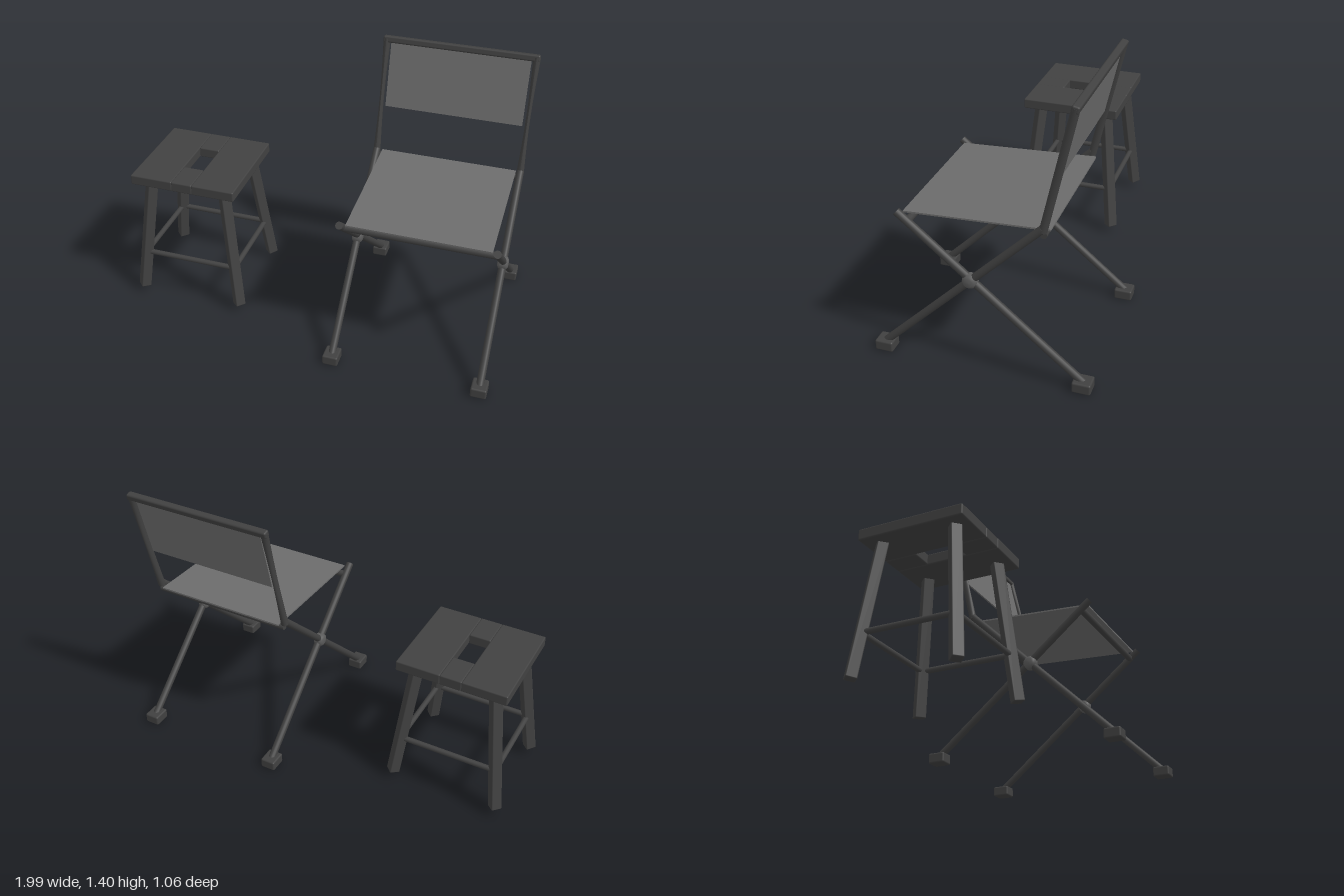
import * as THREE from 'three';
import { RoundedBoxGeometry } from 'three/addons/geometries/RoundedBoxGeometry.js';

const mat = (name, color, extra = {}) => {
  const m = new THREE.MeshStandardMaterial({ color, ...extra });
  m.name = name;
  return m;
};
const V = (x, y, z) => new THREE.Vector3(x, y, z);

export function createModel() {
  const model = new THREE.Group();
  const wood = mat('dark wood', 0x414141);
  const metal = mat('dark metal', 0x404040);
  const hubMat = mat('hub grey', 0x5a5a5a);
  const fabric = mat('fabric grey', 0x6c6c6c, { side: THREE.DoubleSide });

  const add = (parent, name, geo, material, pos) => {
    const m = new THREE.Mesh(geo, material);
    m.name = name;
    if (pos) m.position.copy(pos);
    parent.add(m);
    return m;
  };
  // Round bar between two points; waist narrows its x width midway
  const rod = (parent, name, a, b, r, material, waist = 0) => {
    const len = a.distanceTo(b);
    const geo = new THREE.CylinderGeometry(r, r, len, 16, 8);
    const p = geo.attributes.position;
    if (waist) {
      for (let i = 0; i < p.count; i++) {
        const k = 1 - waist * Math.cos((p.getY(i) / len) * Math.PI);
        p.setX(i, p.getX(i) * k);
      }
      geo.computeVertexNormals();
    }
    const m = add(parent, name, geo, material, a.clone().lerp(b, 0.5));
    m.quaternion.setFromUnitVectors(V(0, 1, 0), b.clone().sub(a).normalize());
    return m;
  };

  // ---- Stool ----
  const stool = new THREE.Group();
  stool.name = 'stool';
  stool.position.x = -0.68;
  model.add(stool);

  // Seat planks, with a hand slot between the two middle pieces
  const plank = (x, z, w, d) => add(stool, 'seatPlank',
    new RoundedBoxGeometry(w, 0.055, d, 2, 0.007), wood, V(x, 0.7275, z));
  plank(-0.17, 0, 0.23, 0.53);
  plank(0.17, 0, 0.23, 0.53);
  plank(0, 0.183, 0.113, 0.164);
  plank(0, -0.183, 0.113, 0.164);

  // Splayed square legs, each with a face turned to the diagonal
  for (const sx of [-1, 1]) for (const sz of [-1, 1]) {
    const top = V(sx * 0.202, 0.71, sz * 0.186), bottom = V(sx * 0.282, 0.035, sz * 0.254);
    const up = top.clone().sub(bottom);
    const leg = add(stool, 'stoolLeg', new RoundedBoxGeometry(0.053, up.length(), 0.053, 2, 0.005),
      wood, top.clone().lerp(bottom, 0.5));
    const y = up.normalize();
    const x = y.clone().cross(V(sx, 0, sz)).normalize();
    leg.quaternion.setFromRotationMatrix(new THREE.Matrix4().makeBasis(x, y, x.clone().cross(y)));
  }

  // Stretchers between the legs
  const sx = 0.256, sz = 0.232, sy = 0.255;
  for (const s of [-1, 1]) {
    rod(stool, 'stretcher', V(-sx, sy, s * sz), V(sx, sy, s * sz), 0.014, wood);
    rod(stool, 'stretcher', V(s * sx, sy, -sz), V(s * sx, sy, sz), 0.014, wood);
  }

  // ---- Folding chair ----
  const chair = new THREE.Group();
  chair.name = 'foldingChair';
  chair.position.x = 0.579;
  model.add(chair);

  const half = 0.378;
  const hubGeo = new THREE.LatheGeometry([
    [0, -0.028], [0.018, -0.027], [0.029, -0.022], [0.036, -0.012],
    [0.036, 0.012], [0.029, 0.022], [0.018, 0.027], [0, 0.028],
  ].map(([x, y]) => new THREE.Vector2(x, y)), 24);

  for (const s of [-1, 1]) {
    const x = s * half;
    // Crossing legs, pivot hub, feet and back post
    rod(chair, 'risingLeg', V(x, 0.04, 0.487), V(x, 0.81, -0.3), 0.019, metal);
    rod(chair, 'frontLeg', V(x, 0.04, -0.487), V(x, 0.768, 0.385), 0.019, metal);
    add(chair, 'pivotHub', hubGeo, hubMat, V(x, 0.475, 0.043)).rotation.z = Math.PI / 2;
    for (const z of [-0.487, 0.487])
      add(chair, 'foot', new RoundedBoxGeometry(0.08, 0.054, 0.09, 2, 0.009), metal, V(x, 0.027, z));
    rod(chair, 'backPost', V(x, 0.795, -0.299), V(x, 1.385, -0.436), 0.019, metal, 0.45);
  }

  // Cross bars
  const topBar = add(chair, 'topRail', new RoundedBoxGeometry(0.79, 0.034, 0.036, 3, 0.009),
    metal, V(0, 1.381, -0.436));
  topBar.rotation.x = -0.23;
  rod(chair, 'rearSeatBar', V(-half, 0.776, -0.3), V(half, 0.776, -0.3), 0.017, metal);
  rod(chair, 'frontSeatBar', V(-half, 0.725, 0.336), V(half, 0.725, 0.336), 0.018, metal);

  // Thin fabric panels spanning two (y, z) points
  const panel = (name, y0, z0, y1, z1) => {
    const m = add(chair, name, new THREE.BoxGeometry(0.708, 0.008, Math.hypot(y1 - y0, z1 - z0)),
      fabric, V(0, (y0 + y1) / 2, (z0 + z1) / 2));
    m.rotation.x = Math.atan2(y1 - y0, z0 - z1);
  };
  panel('seatFabric', 0.757, 0.365, 0.791, -0.325);
  panel('backFabric', 1.04, -0.356, 1.37, -0.432);

  return model;
}
